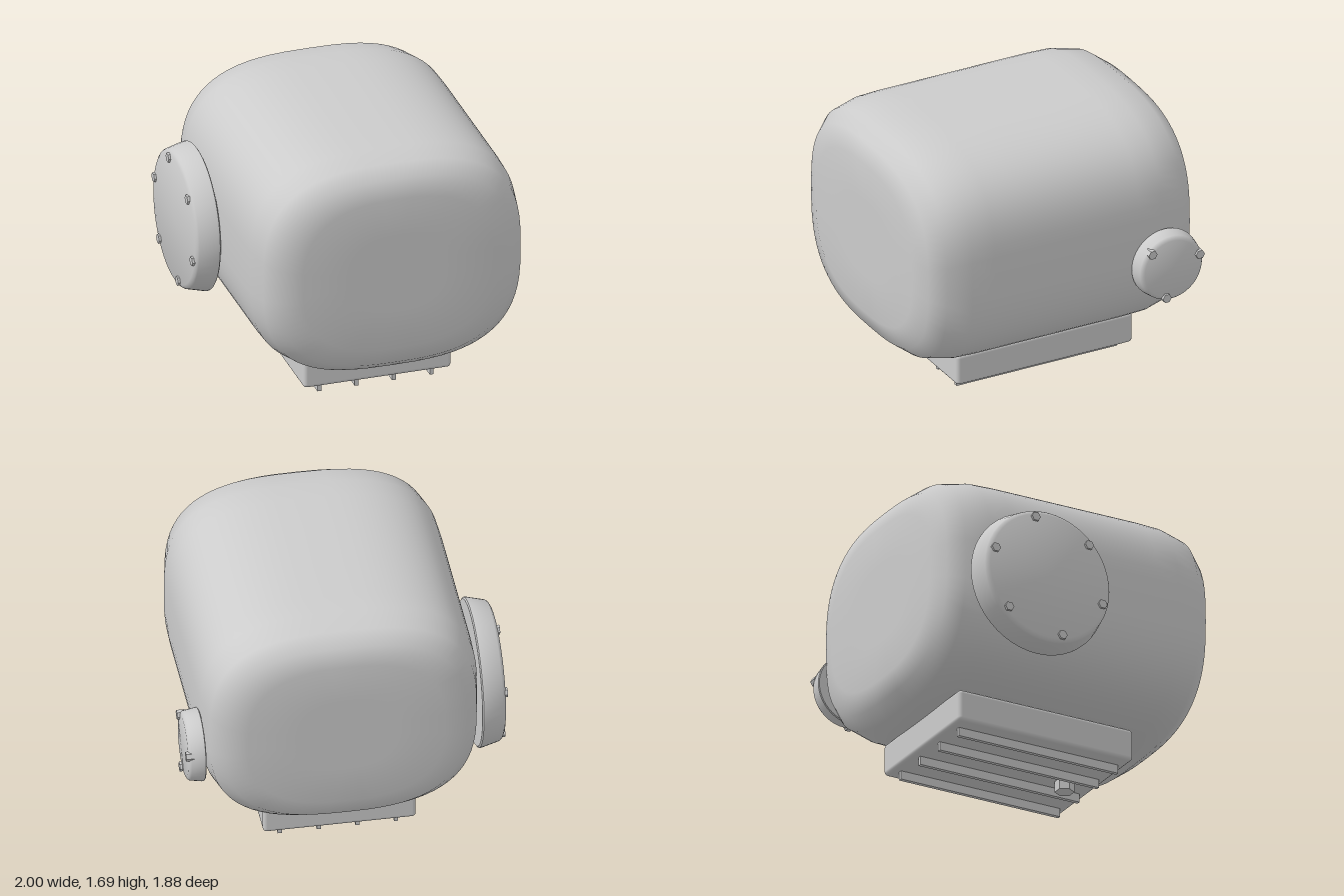
import * as THREE from 'three';
import { toCreasedNormals } from 'three/addons/utils/BufferGeometryUtils.js';
import { RoundedBoxGeometry } from 'three/addons/geometries/RoundedBoxGeometry.js';

const grey = new THREE.MeshStandardMaterial({ color: 0xcccccc });

function part(name, geometry, x = 0, y = 0, z = 0) {
  const mesh = new THREE.Mesh(geometry, grey);
  mesh.name = name;
  mesh.position.set(x, y, z);
  return mesh;
}

// Housing: superellipse rings [z, half width, half height, exponent] from front to back
function housingGeometry() {
  const half = [
    [0.94, 0, 0, 2.5], [0.94, 0.3, 0.25, 2.5], [0.94, 0.61, 0.505, 2.6], [0.9, 0.745, 0.62, 2.8],
    [0.81, 0.82, 0.685, 2.9], [0.65, 0.85, 0.715, 3], [0.5, 0.855, 0.72, 3], [0.2, 0.855, 0.72, 3],
  ];
  const rings = [...half, ...half.map(([z, ...rest]) => [-z, ...rest]).reverse()];
  const n = 72, pos = [], index = [];
  const power = (v, e) => Math.sign(v) * Math.abs(v) ** (2 / e);
  rings.forEach(([z, a, b, e], i) => {
    for (let j = 0; j < n; j++) {
      const t = (j / n) * Math.PI * 2;
      pos.push(a * power(Math.cos(t), e), b * power(Math.sin(t), e), z);
      if (i === rings.length - 1) continue;
      const p = i * n + j, q = i * n + (j + 1) % n;
      index.push(p, p + n, q, q, p + n, q + n);
    }
  });
  const g = new THREE.BufferGeometry();
  g.setAttribute('position', new THREE.Float32BufferAttribute(pos, 3));
  g.setIndex(index);
  g.computeVertexNormals();
  return g;
}

// Round side cover with a ring of hex bolts; side is +1 or -1 along x
function sideCover(name, side, y, z, profile, boltCount, boltRadius, firstAngle) {
  const group = new THREE.Group();
  group.name = name;
  const lathe = new THREE.LatheGeometry(profile.map(([r, h]) => new THREE.Vector2(r, h)), 48);
  const plate = part('coverPlate', toCreasedNormals(lathe, 0.6), 0, y, z);
  plate.rotation.z = -side * Math.PI / 2;
  group.add(plate);
  for (let i = 0; i < boltCount; i++) {
    const t = THREE.MathUtils.degToRad(firstAngle + (i * 360) / boltCount);
    const bolt = part('coverBolt', toCreasedNormals(new THREE.CylinderGeometry(0.03, 0.03, 0.05, 6), 0.5),
      side * 0.975, y + boltRadius * Math.sin(t), z + boltRadius * Math.cos(t));
    bolt.rotation.z = Math.PI / 2;
    group.add(bolt);
  }
  return group;
}

export function createModel() {
  const model = new THREE.Group();
  model.name = 'engineHousing';

  model.add(part('housing', housingGeometry(), 0.025, 0.97, 0));

  // Profiles are [radius, distance from the centre plane]
  model.add(sideCover('largeCover', -1, 0.88, -0.34, [
    [0, 0.835], [0.45, 0.835], [0.46, 0.842], [0.46, 0.855], [0.432, 0.965], [0.425, 0.975], [0.405, 0.986], [0, 0.986],
  ], 6, 0.385, -16));
  model.add(sideCover('smallCover', 1, 0.8, -0.665, [
    [0, 0.877], [0.22, 0.877], [0.225, 0.882], [0.225, 0.895], [0.213, 0.965], [0.205, 0.976], [0.188, 0.984], [0, 0.984],
  ], 3, 0.193, 43));

  // Oil pan with cooling ribs and drain plug underneath
  model.add(part('oilPan', new RoundedBoxGeometry(0.94, 0.205, 1.21, 3, 0.025), 0.02, 0.172, -0.055));
  for (const x of [-0.335, -0.098, 0.14, 0.38]) {
    model.add(part('panRib', new THREE.BoxGeometry(0.025, 0.08, 1.105), x, 0.055, -0.052));
  }
  const plug = part('drainPlug', toCreasedNormals(new THREE.CylinderGeometry(0.06, 0.06, 0.09, 6), 0.5), 0.02, 0.045, 0.335);
  plug.rotation.y = Math.PI / 2;
  model.add(plug);

  return model;
}
